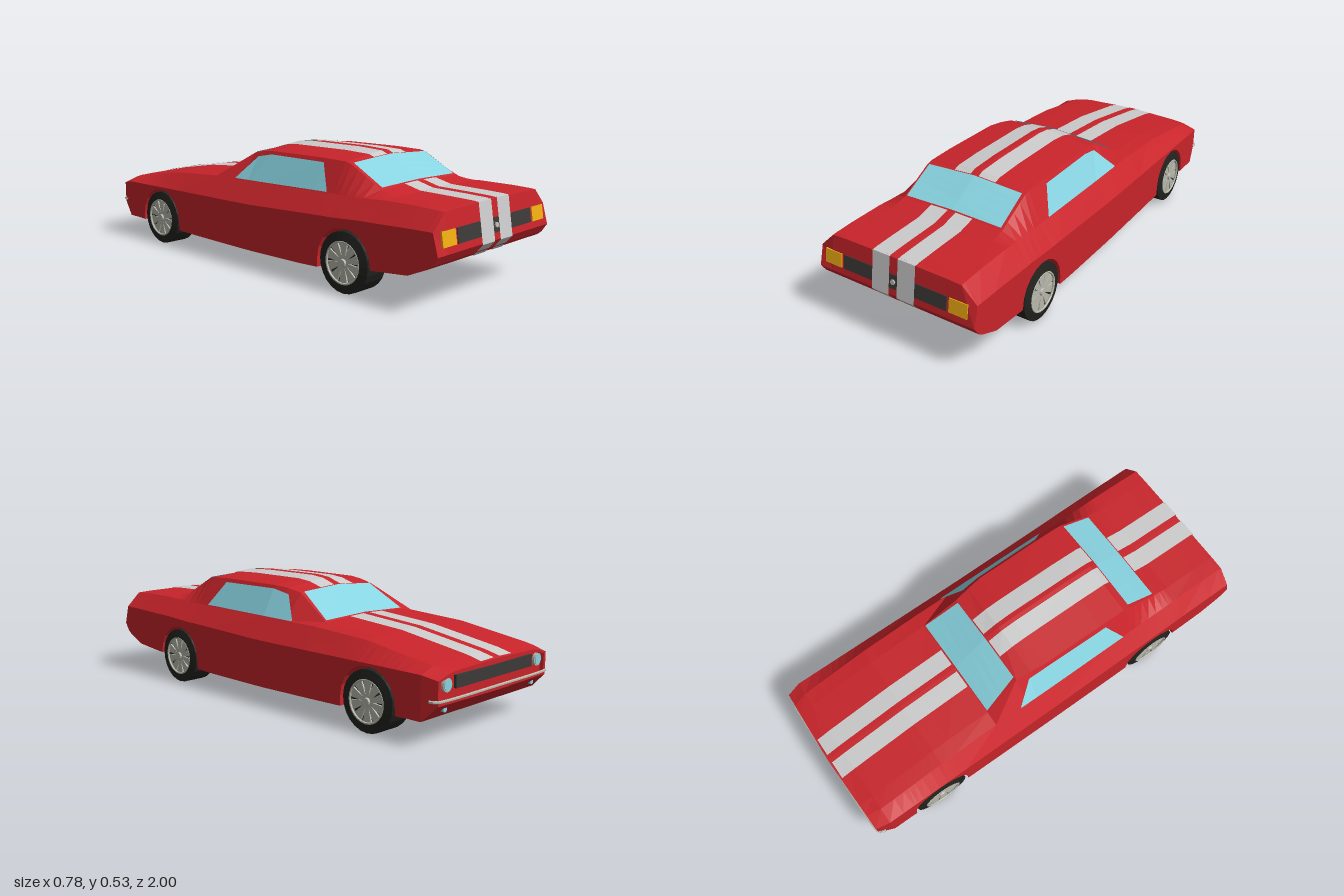
import * as THREE from 'three';

const mat = (color) => new THREE.MeshStandardMaterial({ color, flatShading: true, side: THREE.DoubleSide });
const RED = mat(0xc8242a), GLASS = mat(0x87d3e0), AMBER = mat(0xf0ad12), DARK = mat(0x3c3a38);
const TYRE = mat(0x22221f), METAL = mat(0xb8b8ac), STRIPE = mat(0xcccccc);

// Body stations: z, then heights of floor, belt, shoulder, roof edge and centre line
const KEYS = [
  [0.995, 0.232, 0.232, 0.232, 0.232, 0.232],
  [0.97, 0.195, 0.32, 0.385, 0.388, 0.39],
  [0.95, 0.18, 0.32, 0.387, 0.39, 0.392],
  [0.86, 0.14, 0.318, 0.39, 0.392, 0.395],
  [0.7, 0.125, 0.312, 0.39, 0.395, 0.398],
  [0.62, 0.12, 0.31, 0.385, 0.412, 0.418],
  [0.46, 0.09, 0.3, 0.38, 0.498, 0.512],
  [0.43, 0.085, 0.3, 0.38, 0.505, 0.525],
  [0.3, 0.08, 0.295, 0.378, 0.508, 0.531],
  [0, 0.077, 0.283, 0.372, 0.505, 0.53],
  [-0.07, 0.077, 0.282, 0.371, 0.498, 0.522],
  [-0.14, 0.078, 0.281, 0.37, 0.483, 0.497],
  [-0.31, 0.08, 0.28, 0.368, 0.378, 0.387],
  [-0.6, 0.085, 0.278, 0.35, 0.356, 0.362],
  [-0.85, 0.1, 0.276, 0.31, 0.314, 0.32],
  [-0.92, 0.1, 0.275, 0.299, 0.302, 0.308],
  [-0.985, 0.165, 0.26, 0.28, 0.285, 0.292],
];
const AXLES = [0.54, -0.66], WHEEL_Y = 0.127, ARCH_R = 0.14;

// Interpolated heights at z, with the widths given by rule: the nose tapers, the windscreen top narrows
function at(z) {
  let i = 0;
  while (i < KEYS.length - 2 && z < KEYS[i + 1][0]) i++;
  const a = KEYS[i], b = KEYS[i + 1], t = (z - a[0]) / (b[0] - a[0]);
  const [, floor, belt, shoulder, edge, top] = a.map((v, j) => v + (b[j] - v) * t);
  const w = 0.385 - 0.23 * Math.max(0, -0.92 - z);
  const edgeX = 0.25 - 0.02 * Math.max(0, 1 - Math.abs(z + 0.14) / 0.16);
  return { floor, belt, shoulder, edge, top, w, shoulderX: w - 0.068, edgeX };
}
const topY = (z, x) => {
  const k = at(z);
  return k.top + (k.edge - k.top) * Math.abs(x) / k.edgeX;
};

// Closed cross-section, counter-clockwise seen from the +z end
function section(z, arch = 0, bow = 0) {
  const k = at(z), sill = Math.max(k.floor, arch);
  const half = [[0.262, k.floor], [0.262, sill], [k.w, sill], [k.w, Math.max(k.belt, sill)],
    [k.shoulderX, k.shoulder], [k.edgeX, k.edge]];
  const pts = [[0, k.floor], ...half, [0, k.top], ...half.map(([x, y]) => [-x, y]).reverse()];
  return pts.map(([x, y]) => new THREE.Vector3(x, y, z - bow * (1 - Math.abs(x) / k.w)));
}

// Skin a list of point rows, leaving out collapsed triangles
function skin(rows, closed) {
  const pos = [], e1 = new THREE.Vector3(), e2 = new THREE.Vector3();
  const tri = (a, b, c) => {
    e1.subVectors(b, a);
    e2.subVectors(c, a);
    if (e1.cross(e2).length() > 1e-9) for (const p of [a, b, c]) pos.push(p.x, p.y, p.z);
  };
  for (let i = 0; i < rows.length - 1; i++) {
    const n = rows[i].length;
    for (let j = 0; j < (closed ? n : n - 1); j++) {
      const k = (j + 1) % n, a = rows[i][j], b = rows[i][k], c = rows[i + 1][k], d = rows[i + 1][j];
      tri(a, d, c);
      tri(a, c, b);
    }
  }
  const g = new THREE.BufferGeometry();
  g.setAttribute('position', new THREE.Float32BufferAttribute(pos, 3));
  g.computeVertexNormals();
  return g;
}

function add(parent, name, geometry, material, x = 0, y = 0, z = 0) {
  const m = new THREE.Mesh(geometry, material);
  m.name = name;
  m.position.set(x, y, z);
  parent.add(m);
  return m;
}

function buildBody(car) {
  const stations = KEYS.map((k) => [k[0], 0]).filter(([z]) => AXLES.every((a) => Math.abs(z - a) > ARCH_R));
  const archY = (z, a) => WHEEL_Y + Math.sqrt(Math.max(0, ARCH_R ** 2 - (z - a) ** 2));
  // Extra stations cut the round wheel arches
  for (const a of AXLES) {
    stations.push([a + ARCH_R + 0.0005, 0], [a - ARCH_R - 0.0005, 0]);
    for (let i = 0; i <= 10; i++) {
      const z = a + ARCH_R * Math.cos(Math.PI * i / 10);
      stations.push([z, archY(z, a)]);
    }
    for (const [z] of KEYS) if (Math.abs(z - a) < ARCH_R) stations.push([z, archY(z, a)]);
  }
  stations.sort((p, q) => q[0] - p[0]);
  const rows = stations.map(([z, arch]) => section(z, arch, z < -0.98 ? 0.01 : 0));
  // Recessed nose panel, closed to a point
  const nose = rows[rows.length - 1];
  const ring = (sx, sy, dz) => nose.map((p) => new THREE.Vector3(p.x * sx, 0.232 + (p.y - 0.232) * sy, p.z + dz));
  rows.push(ring(0.96, 0.8, 0), ring(0.95, 0.78, 0.014), nose.map(() => new THREE.Vector3(0, 0.232, -0.981)));
  add(car, 'body', skin(rows, true), RED);
}

function buildGlass(car) {
  // Windscreen and rear window follow the cabin surface
  const pane = (name, z0, h0, z1, h1) => {
    const rows = [0, 0.25, 0.5, 0.75, 1].map((t) => {
      const z = z0 + (z1 - z0) * t, h = h0 + (h1 - h0) * t;
      return [h, 0, -h].map((x) => new THREE.Vector3(x, topY(z, x) + 0.005, z));
    });
    add(car, name, skin(rows, false), GLASS);
  };
  pane('rearWindow', 0.615, 0.24, 0.462, 0.238);
  pane('windscreen', -0.143, 0.213, -0.308, 0.245);
  // Side windows lie on the slope between shoulder and roof edge
  for (const s of [1, -1]) {
    const rows = [[0.39, 0.384], [0.32, 0.49], [0, 0.49], [-0.09, 0.472], [-0.175, 0.376]].map(([z, y1]) => {
      const k = at(z);
      return [k.shoulder + 0.002, y1].map((y) => {
        const t = (y - k.shoulder) / (k.edge - k.shoulder);
        return new THREE.Vector3(s * (k.shoulderX + (k.edgeX - k.shoulderX) * t + 0.005), y + 0.002, z);
      });
    });
    add(car, s > 0 ? 'leftSideWindow' : 'rightSideWindow', skin(s > 0 ? rows : rows.reverse(), false), GLASS);
  }
}

function buildStripes(car) {
  const run = (z1, z0) => [z1, ...KEYS.map((k) => k[0]).filter((z) => z < z1 && z > z0), z0];
  const paths = {
    hoodStripe: run(-0.315, -0.985),
    roofStripe: run(0.458, -0.138),
    trunkStripe: run(0.965, 0.62),
  };
  for (const s of [1, -1]) {
    const xs = s > 0 ? [0.105, 0.02] : [-0.02, -0.105];
    for (const [name, zs] of Object.entries(paths)) {
      const rows = zs.map((z) => xs.map((x) => new THREE.Vector3(x, topY(z, x) + 0.004, z)));
      add(car, name, skin(rows, false), STRIPE);
    }
    const tail = [[0.18, 0.956], [0.23, 1.0], [0.393, 0.974], [0.394, 0.965]].reverse();
    const rows = tail.map(([y, z]) => xs.map((x) => new THREE.Vector3(x, y, z)));
    add(car, 'tailStripe', skin(rows.reverse(), false), STRIPE);
  }
}

function buildTail(car) {
  const panel = new THREE.Group();
  panel.name = 'tailPanel';
  panel.position.set(0, 0.29, 0.9857);
  panel.rotation.x = -0.16;
  car.add(panel);
  add(panel, 'darkPanel', new THREE.BoxGeometry(0.51, 0.06, 0.006), DARK);
  for (const s of [1, -1]) add(panel, 'tailLight', new THREE.BoxGeometry(0.085, 0.06, 0.008), AMBER, s * 0.309);
  add(panel, 'trunkLock', new THREE.CylinderGeometry(0.011, 0.011, 0.012, 8), METAL, 0, 0, 0.003).rotation.x = Math.PI / 2;
}

function buildNose(car) {
  add(car, 'grille', new THREE.BoxGeometry(0.52, 0.05, 0.012), DARK, 0, 0.24, -0.979);
  const disc = (name, r, x, y, z, m) => {
    add(car, name, new THREE.CylinderGeometry(r, r, 0.016, 16), m, x, y, z).rotation.x = Math.PI / 2;
  };
  for (const s of [1, -1]) {
    disc('headlightRim', 0.027, s * 0.31, 0.236, -0.975, METAL);
    disc('headlight', 0.022, s * 0.31, 0.236, -0.978, GLASS);
    disc('frontIndicator', 0.011, s * 0.3, 0.14, -0.959, GLASS);
  }
  const side = [[0.384, -0.955], [0.375, -0.982], [0.34, -0.99]];
  const pts = [...side.map(([x, z]) => [-x, z]), [0, -0.994], ...side.reverse()];
  const path = new THREE.CatmullRomCurve3(pts.map(([x, z]) => new THREE.Vector3(x, 0.182, z)), false, 'centripetal');
  add(car, 'frontBumper', new THREE.TubeGeometry(path, 40, 0.006, 6), METAL);
}

function buildWheel(car, side, z, name) {
  const wheel = new THREE.Group();
  wheel.name = name;
  wheel.position.set(side * 0.328, WHEEL_Y, z);
  wheel.rotation.y = side > 0 ? 0 : Math.PI;
  car.add(wheel);
  const profile = [[0, -0.0625], [0.09, -0.0625], [0.127, -0.054], [0.127, 0.054], [0.09, 0.0625], [0.086, 0.045], [0, 0.045]];
  const tyre = new THREE.LatheGeometry(profile.map(([r, h]) => new THREE.Vector2(r, h)), 24);
  add(wheel, 'tyre', tyre, TYRE).rotation.z = -Math.PI / 2;
  add(wheel, 'rim', new THREE.TorusGeometry(0.086, 0.005, 6, 24), METAL, 0.059).rotation.y = Math.PI / 2;
  add(wheel, 'hub', new THREE.CylinderGeometry(0.014, 0.02, 0.018, 10), METAL, 0.054).rotation.z = -Math.PI / 2;
  // Tapered spokes
  const outline = [[-0.005, 0.012], [0.005, 0.012], [0.021, 0.084], [-0.021, 0.084]];
  const wedge = new THREE.Shape(outline.map(([x, y]) => new THREE.Vector2(x, y)));
  const spoke = new THREE.ExtrudeGeometry(wedge, { depth: 0.008, bevelEnabled: false }).rotateY(Math.PI / 2);
  for (let i = 0; i < 10; i++) add(wheel, 'spoke', spoke, METAL, 0.047).rotation.x = i * Math.PI / 5;
}

export function createModel() {
  const car = new THREE.Group();
  car.name = 'car';
  buildBody(car);
  buildGlass(car);
  buildStripes(car);
  buildTail(car);
  buildNose(car);
  for (const s of [1, -1]) {
    buildWheel(car, s, AXLES[0], 'rearWheel');
    buildWheel(car, s, AXLES[1], 'frontWheel');
  }
  return car;
}
